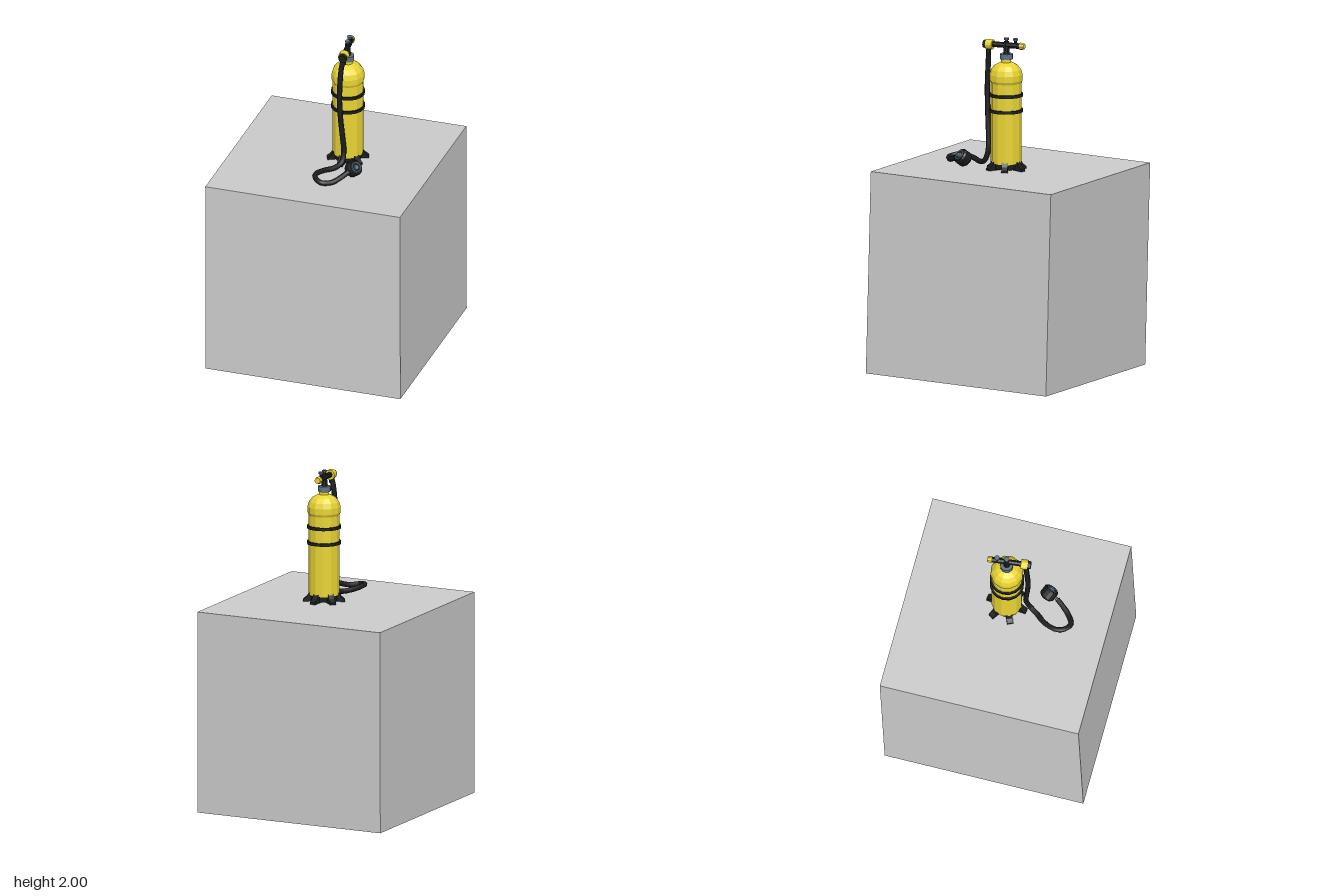
import * as THREE from 'three';

const mat = (color, flat = true) =>
  new THREE.MeshStandardMaterial({ color, flatShading: flat, side: THREE.DoubleSide });
const YELLOW = mat(0xe8d433), BLACK = mat(0x1b1c1e), STEEL = mat(0x5f7484), GREY = mat(0xcccccc);
const RUBBER = mat(0x1b1c1e, false);

function add(parent, name, geo, material, x = 0, y = 0, z = 0) {
  const m = new THREE.Mesh(geo, material);
  m.name = name;
  m.position.set(x, y, z);
  parent.add(m);
  return m;
}
const cyl = (rTop, rBottom, h, n = 12) => new THREE.CylinderGeometry(rTop, rBottom, h, n);
const alongZ = (r1, r2, h, n = 12) => cyl(r1, r2, h, n).rotateX(Math.PI / 2);
const lathe = (pts, n = 12) =>
  new THREE.LatheGeometry(pts.map(([r, y]) => new THREE.Vector2(r, y)), n);

function buildTank() {
  const tank = new THREE.Group();
  tank.name = 'tank';
  // Bottle: straight wall, slightly wider shoulder, dome and neck
  add(tank, 'bottle', lathe([[0, 1.26], [0.09, 1.26], [0.09, 1.735], [0.097, 1.75], [0.097, 1.785],
    [0.088, 1.815], [0.068, 1.84], [0.04, 1.855], [0.03, 1.857], [0.03, 1.882], [0, 1.882]]), YELLOW);
  // Straps
  for (const y of [1.572, 1.665])
    add(tank, 'strap', lathe([[0.09, y - 0.009], [0.1, y - 0.009], [0.1, y + 0.009], [0.09, y + 0.009]], 16), BLACK);
  // Boot with six splayed feet
  add(tank, 'boot', cyl(0.086, 0.08, 0.072), BLACK, 0, 1.264, 0);
  const side = new THREE.Shape();
  [[0.06, 1.224], [0.122, 1.219], [0.122, 1.233], [0.1, 1.25], [0.086, 1.275], [0.06, 1.275]]
    .forEach(([x, y], i) => (i ? side.lineTo(x, y) : side.moveTo(x, y)));
  const footGeo = new THREE.ExtrudeGeometry(side, { depth: 0.036, bevelEnabled: false }).translate(0, 0, -0.018);
  for (let i = 0; i < 6; i++) add(tank, 'foot', footGeo, BLACK).rotation.y = i * Math.PI / 3;
  return tank;
}

function buildValve() {
  const valve = new THREE.Group();
  valve.name = 'valve';
  add(valve, 'collar', cyl(0.038, 0.038, 0.032), STEEL, 0, 1.891, 0);
  add(valve, 'post', cyl(0.016, 0.02, 0.08, 8), BLACK, 0, 1.94, 0);
  add(valve, 'crossbar', alongZ(0.017, 0.017, 0.2, 8), BLACK, 0, 1.957, 0.0);
  // Small taps on the bar
  for (const z of [0, -0.057]) {
    add(valve, 'tapStem', cyl(0.009, 0.009, 0.03, 8), BLACK, 0, 1.98, z);
    add(valve, 'tapCap', cyl(0.016, 0.014, 0.012, 8), STEEL, 0, 1.994, z);
  }
  // Rear handwheel
  add(valve, 'handwheel', alongZ(0.023, 0.018, 0.026, 8), YELLOW, 0, 1.957, -0.1);
  // Front regulator body
  add(valve, 'regulator', alongZ(0.03, 0.03, 0.04), YELLOW, 0, 1.955, 0.105);
  add(valve, 'regulatorCap', alongZ(0.023, 0.026, 0.022), BLACK, 0, 1.955, 0.133);
  add(valve, 'hoseFitting', cyl(0.016, 0.016, 0.04, 8), BLACK, 0, 1.925, 0.115);
  return valve;
}

function buildMouthpiece() {
  // Built along +y, which is the face direction
  const mouth = new THREE.Group();
  mouth.name = 'mouthpiece';
  add(mouth, 'housing', lathe([[0, -0.036], [0.036, -0.036], [0.047, -0.024], [0.047, 0.02], [0.04, 0.03], [0, 0.03]], 14), BLACK);
  add(mouth, 'faceRing', new THREE.TorusGeometry(0.028, 0.005, 6, 14).rotateX(Math.PI / 2), STEEL, 0, 0.03, 0);
  add(mouth, 'faceButton', cyl(0.014, 0.018, 0.01), STEEL, 0, 0.033, 0);
  return mouth;
}

export function createModel() {
  const model = new THREE.Group();
  // Slightly tilted cube
  const cube = add(model, 'cube', new THREE.BoxGeometry(1.2, 1.2, 1.2), GREY, 0, 0.62, 0);
  cube.rotation.set(-0.024, -0.418, 0);

  const tank = buildTank();
  tank.position.set(0.07, 0, 0.005);
  const valve = buildValve();
  valve.position.set(0.068, 0, 0.003);
  valve.rotation.y = -0.31;
  const mouth = buildMouthpiece();
  mouth.position.set(0.08, 1.287, 0.257);
  mouth.quaternion.setFromUnitVectors(new THREE.Vector3(0, 1, 0), new THREE.Vector3(0.42, 0.55, 0.6).normalize());
  model.add(tank, valve, mouth);

  // Hose: down the bottle, then looping over the cube to the mouthpiece
  const path = new THREE.CatmullRomCurve3([
    [0.032, 1.935, 0.112], [0.02, 1.87, 0.113], [0.01, 1.7, 0.12], [0.016, 1.55, 0.117], [0.028, 1.42, 0.112],
    [0.035, 1.32, 0.114], [0.02, 1.262, 0.135], [-0.025, 1.247, 0.168], [-0.085, 1.252, 0.2],
    [-0.138, 1.262, 0.253], [-0.15, 1.265, 0.3], [-0.122, 1.256, 0.352], [-0.06, 1.25, 0.347],
    [-0.005, 1.264, 0.322], [0.035, 1.28, 0.297],
  ].map(p => new THREE.Vector3(...p)));
  add(model, 'hose', new THREE.TubeGeometry(path, 90, 0.0155, 8), RUBBER);
  // Thin link between hose and mouthpiece
  const link = new THREE.LineCurve3(new THREE.Vector3(0.028, 1.278, 0.3), new THREE.Vector3(0.07, 1.285, 0.27));
  add(model, 'hoseLink', new THREE.TubeGeometry(link, 1, 0.011, 8), STEEL);
  return model;
}
